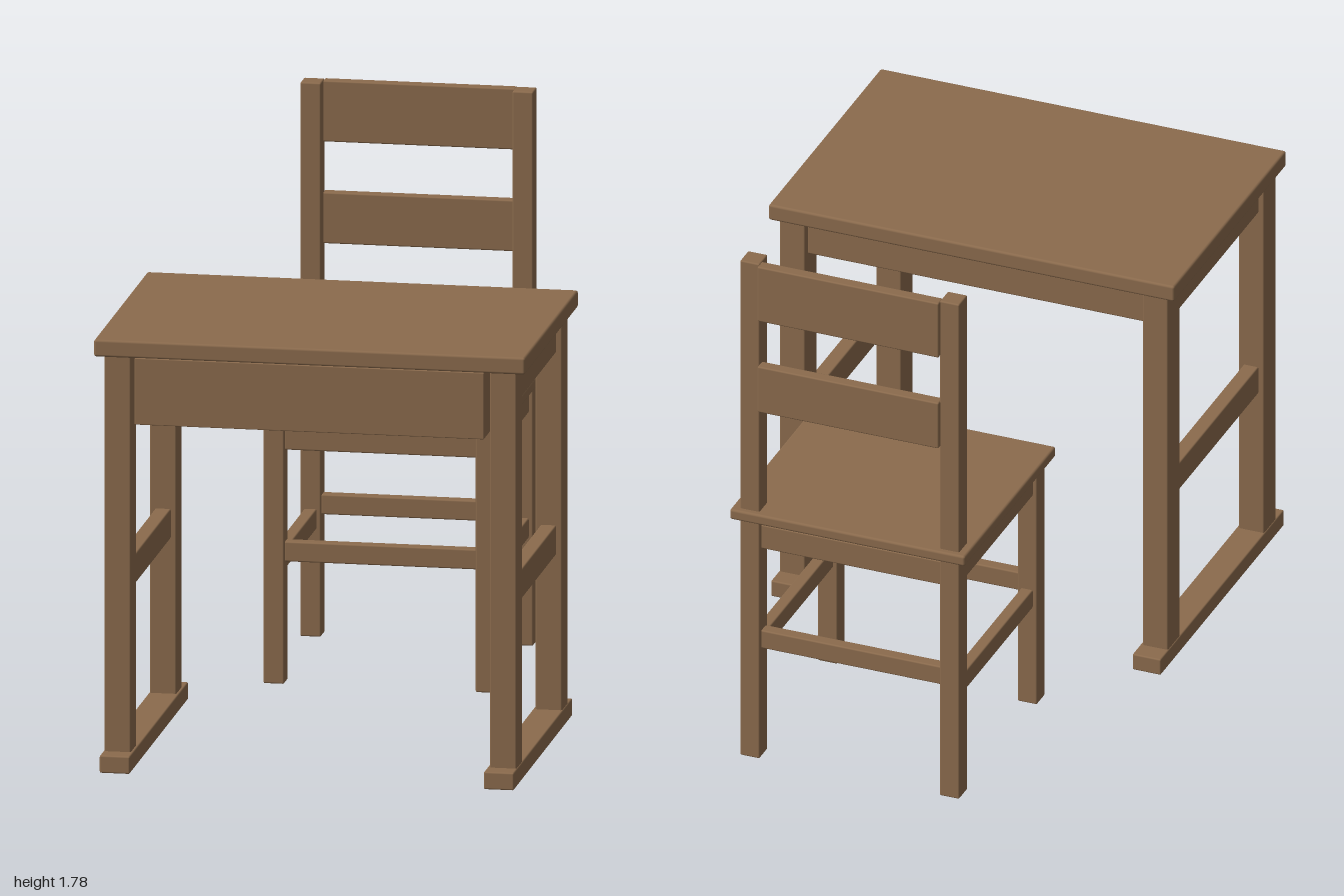
import * as THREE from 'three';
import { RoundedBoxGeometry } from 'three/addons/geometries/RoundedBoxGeometry.js';

const wood = new THREE.MeshStandardMaterial({ color: 0x8b6b4d });
wood.name = 'brown wood';

// Softly rounded board spanning the given [min, max] ranges
function board(parent, name, [x0, x1], [y0, y1], [z0, z1], radius = 0.005) {
  const geometry = new RoundedBoxGeometry(x1 - x0, y1 - y0, z1 - z0, 2, radius);
  const mesh = new THREE.Mesh(geometry, wood);
  mesh.position.set((x0 + x1) / 2, (y0 + y1) / 2, (z0 + z1) / 2);
  mesh.name = name;
  parent.add(mesh);
}

// The same board on the left (+x) and right (-x) sides
function pair(parent, name, [x0, x1], y, z) {
  board(parent, name + 'Left', [x0, x1], y, z);
  board(parent, name + 'Right', [-x1, -x0], y, z);
}

function createDesk() {
  const desk = new THREE.Group();
  desk.name = 'desk';
  board(desk, 'deskTop', [-0.685, 0.685], [1.325, 1.38], [0.025, 0.953], 0.008);
  board(desk, 'drawerBox', [-0.555, 0.555], [1.113, 1.327], [0.38, 0.955], 0.003);

  // Side frames standing on floor runners
  const legX = [0.57, 0.655];
  pair(desk, 'floorRunner', [0.562, 0.658], [0, 0.056], [-0.02, 1]);
  pair(desk, 'deskFrontLeg', legX, [0.05, 1.328], [0.84, 0.938]);
  pair(desk, 'deskBackLeg', legX, [0.05, 1.328], [0.046, 0.145]);
  pair(desk, 'deskUpperRail', [0.587, 0.637], [1.205, 1.315], [0.143, 0.842]);
  pair(desk, 'deskMiddleRail', [0.587, 0.637], [0.555, 0.65], [0.143, 0.842]);
  board(desk, 'deskBackApron', [-0.572, 0.572], [1.205, 1.315], [0.07, 0.12]);
  return desk;
}

function createChair() {
  const chair = new THREE.Group();
  chair.name = 'chair';
  board(chair, 'seat', [-0.397, 0.397], [0.853, 0.889], [-1, -0.247], 0.008);

  const legX = [0.304, 0.37];
  pair(chair, 'chairFrontLeg', legX, [0, 0.856], [-0.338, -0.272]);
  pair(chair, 'chairBackPost', legX, [0, 1.78], [-0.98, -0.912]);

  // Aprons below the seat and stretchers lower down
  const sideX = [0.317, 0.357], sideZ = [-0.914, -0.336], crossX = [-0.306, 0.306];
  pair(chair, 'sideApron', sideX, [0.75, 0.835], sideZ);
  pair(chair, 'sideStretcher', sideX, [0.347, 0.411], sideZ);
  for (const [end, z] of [['front', [-0.325, -0.285]], ['back', [-0.966, -0.926]]]) {
    board(chair, end + 'Apron', crossX, [0.75, 0.835], z);
    board(chair, end + 'Stretcher', crossX, [0.391, 0.455], z);
  }

  // Backrest slats
  board(chair, 'upperBackSlat', crossX, [1.582, 1.778], [-0.994, -0.955]);
  board(chair, 'lowerBackSlat', crossX, [1.255, 1.419], [-0.994, -0.955]);
  return chair;
}

export function createModel() {
  const model = new THREE.Group();
  model.name = 'deskAndChair';
  model.add(createDesk(), createChair());
  return model;
}
